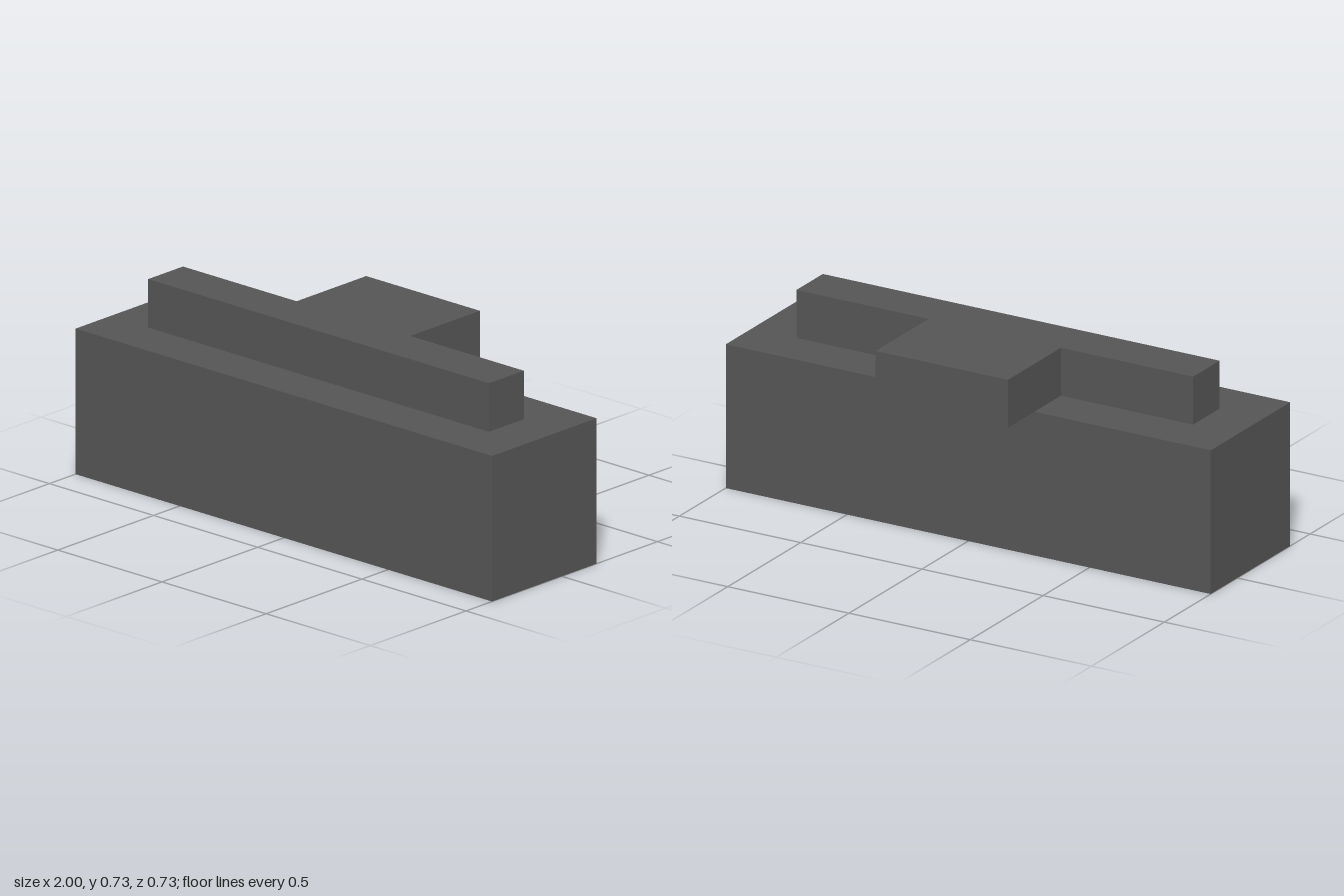
import * as THREE from 'three';

const U = 2 / 11; // grid unit: the body is 11 units long

// Extrudes a plan outline of [x, z] points (in units) upward from y0
function slab(outline, hole, y0, height) {
  const toPoints = (pts) => pts.map(([x, z]) => new THREE.Vector2(x * U, -z * U));
  const shape = new THREE.Shape(toPoints(outline));
  if (hole) shape.holes.push(new THREE.Path(toPoints(hole)));
  const geometry = new THREE.ExtrudeGeometry(shape, { depth: height * U, bevelEnabled: false });
  return geometry.rotateX(-Math.PI / 2).translate(0, y0 * U, 0);
}

const rect = (halfX, z0, z1) => [[-halfX, z1], [halfX, z1], [halfX, z0], [-halfX, z0]];

export function createModel() {
  const model = new THREE.Group();
  const makeMaterial = (name, color) => {
    const material = new THREE.MeshStandardMaterial({ color });
    material.name = name;
    return material;
  };
  const darkGrey = makeMaterial('darkGrey', 0x555555);
  const warmWhite = makeMaterial('warmWhite', 0xfff4d0);

  const add = (name, geometry, material) => {
    const mesh = new THREE.Mesh(geometry, material);
    mesh.name = name;
    model.add(mesh);
  };

  // Lower body with the long slot in its underside
  add('slottedBase', slab(rect(5.5, -1, 2), rect(4.5, 0, 1), 0, 1), darkGrey);

  // Solid upper body, which closes the slot
  add('body', slab(rect(5.5, -1, 2), null, 1, 2), darkGrey);

  // Light panel recessed at the top of the slot
  add('lightPanel', slab(rect(4.5, 0, 1), null, 0.98, 0.02), warmWhite);

  // T-shaped top: a long ridge with a tab overhanging the back
  add('topRidgeAndTab', slab([
    [-4.5, 1], [4.5, 1], [4.5, 0], [1.5, 0],
    [1.5, -2], [-1.5, -2], [-1.5, 0], [-4.5, 0],
  ], null, 3, 1), darkGrey);

  return model;
}
